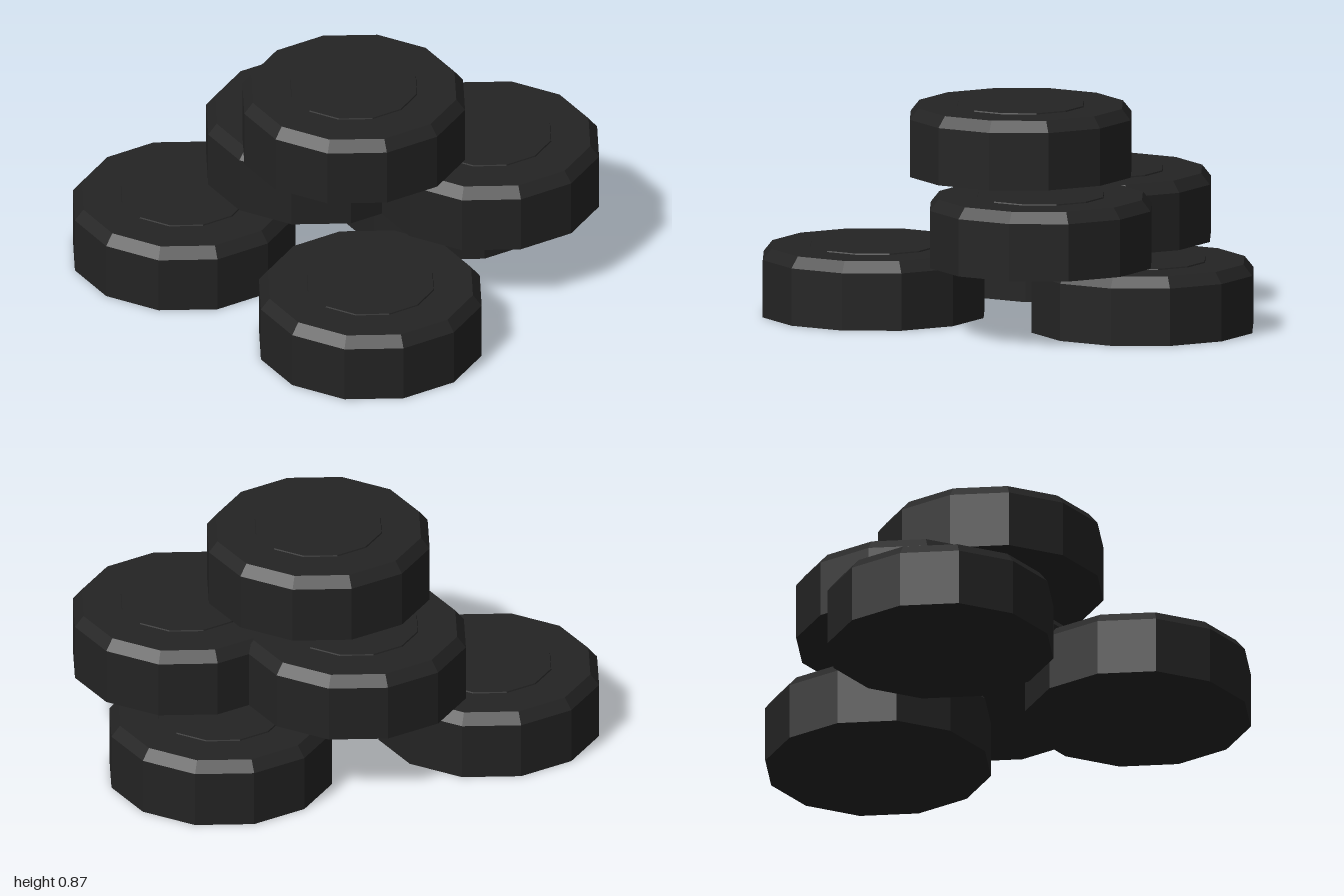
import * as THREE from 'three';

const SIDES = 12;
const HEIGHT = 0.291;

// Puck cross-section: flat base, straight wall, bevelled rim, slightly raised centre
const PROFILE = [
  [0, 0], [0.473, 0], [0.473, 0.24], [0.436, 0.286],
  [0.27, 0.286], [0.268, HEIGHT], [0, HEIGHT],
].map(([r, y]) => new THREE.Vector2(r, y));

// Name, x, z and stacking level of each puck
const PUCKS = [
  ['bottomPuckFrontRight', -0.527, 0.527, 0],
  ['bottomPuckFrontLeft', 0.527, 0.527, 0],
  ['bottomPuckBack', 0, -0.527, 0],
  ['middlePuckRight', -0.265, 0, 1],
  ['middlePuckLeft', 0.392, -0.328, 1],
  ['topPuck', 0.063, 0.132, 2],
];

export function createModel() {
  const model = new THREE.Group();
  model.name = 'puckStack';

  const rubber = new THREE.MeshStandardMaterial({ color: 0x232323 });
  rubber.name = 'blackRubber';

  // Faceted normals for the twelve-sided body
  const geometry = new THREE.LatheGeometry(PROFILE, SIDES).toNonIndexed();
  geometry.computeVertexNormals();

  for (const [name, x, z, level] of PUCKS) {
    const puck = new THREE.Mesh(geometry, rubber);
    puck.name = name;
    puck.position.set(x, level * HEIGHT, z);
    model.add(puck);
  }
  return model;
}
